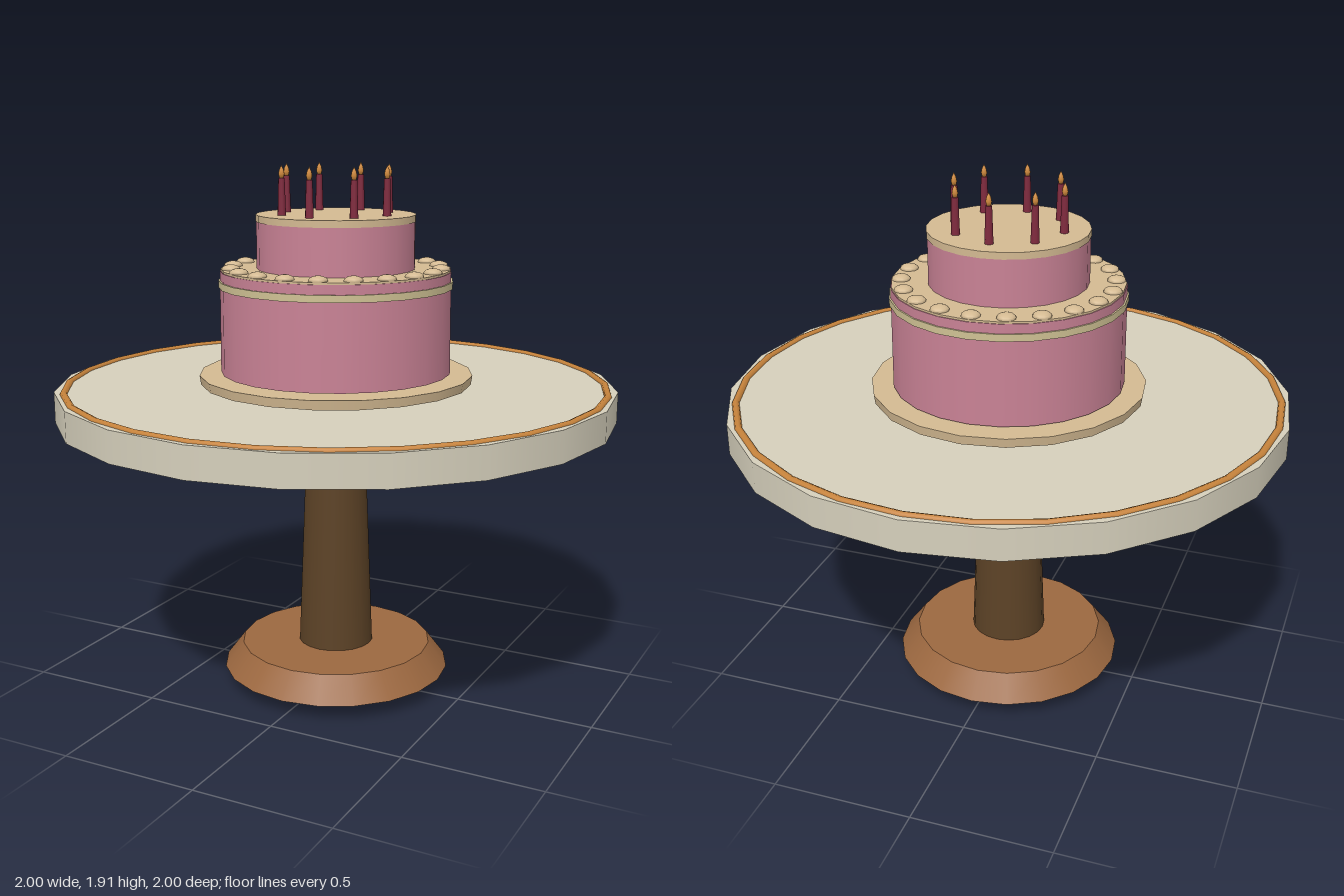
import * as THREE from 'three';

const mat = (name, color) => {
  const m = new THREE.MeshStandardMaterial({ color });
  m.name = name;
  return m;
};

export function createModel() {
  const group = new THREE.Group();
  const stone = mat('pale stone', 0xd6d0bc);
  const wood = mat('warm wood', 0x9c6840);
  const darkWood = mat('dark wood', 0x5c4226);
  const trim = mat('copper trim', 0xc8843c);
  const cream = mat('cream icing', 0xd4ba92);
  const ribbon = mat('ribbon', 0xd0c294);
  const pink = mat('pink icing', 0xc98295);
  const wax = mat('candle wax', 0x802a3e);
  const fire = mat('flame', 0xd08a3c);

  const add = (name, geometry, material, x = 0, y = 0, z = 0) => {
    const mesh = new THREE.Mesh(geometry, material);
    mesh.name = name;
    mesh.position.set(x, y, z);
    group.add(mesh);
    return mesh;
  };
  // Upright round part between two heights
  const disc = (name, rTop, rBottom, y0, y1, sides, material) =>
    add(name, new THREE.CylinderGeometry(rTop, rBottom, y1 - y0, sides), material, 0, (y0 + y1) / 2, 0);
  // Repeat a part evenly round a circle
  const ring = (count, radius, place) => {
    for (let i = 0; i < count; i++) {
      const a = (i / count) * Math.PI * 2;
      place(Math.cos(a) * radius, Math.sin(a) * radius);
    }
  };

  // Table
  disc('post', 0.107, 0.143, 0, 0.95, 20, darkWood);
  disc('foot', 0.35, 0.418, 0.06, 0.15, 20, wood);
  disc('tableTop', 1, 1, 1.02, 1.13, 20, stone);
  add('tableTrim', new THREE.TorusGeometry(0.966, 0.014, 8, 28), trim, 0, 1.127, 0).rotation.x = Math.PI / 2;

  // Cake plate and tiers
  disc('cakePlate', 0.49, 0.485, 1.14, 1.173, 20, cream);
  disc('lowerTier', 0.41, 0.412, 1.18, 1.54, 24, pink);
  disc('lowerRibbon', 0.416, 0.416, 1.482, 1.507, 24, ribbon);
  disc('lowerIcing', 0.407, 0.407, 1.536, 1.547, 24, cream);
  disc('upperTier', 0.28, 0.28, 1.54, 1.715, 24, pink);
  disc('upperIcing', 0.282, 0.282, 1.712, 1.736, 24, cream);

  // Icing dollops round the lower tier
  const dollop = new THREE.SphereGeometry(0.033, 12, 8);
  dollop.scale(1, 0.5, 1);
  ring(20, 0.372, (x, z) => add('dollop', dollop, cream, x, 1.549, z));

  // Candles with pointed flames
  const stick = new THREE.CylinderGeometry(0.011, 0.015, 0.13, 10);
  const flame = new THREE.LatheGeometry(
    [[0, 0], [0.008, 0.006], [0.011, 0.018], [0.008, 0.032], [0, 0.048]].map(p => new THREE.Vector2(...p)), 8);
  ring(8, 0.197, (x, z) => {
    add('candle', stick, wax, x, 1.798, z);
    add('flame', flame, fire, x, 1.859, z);
  });

  return group;
}
